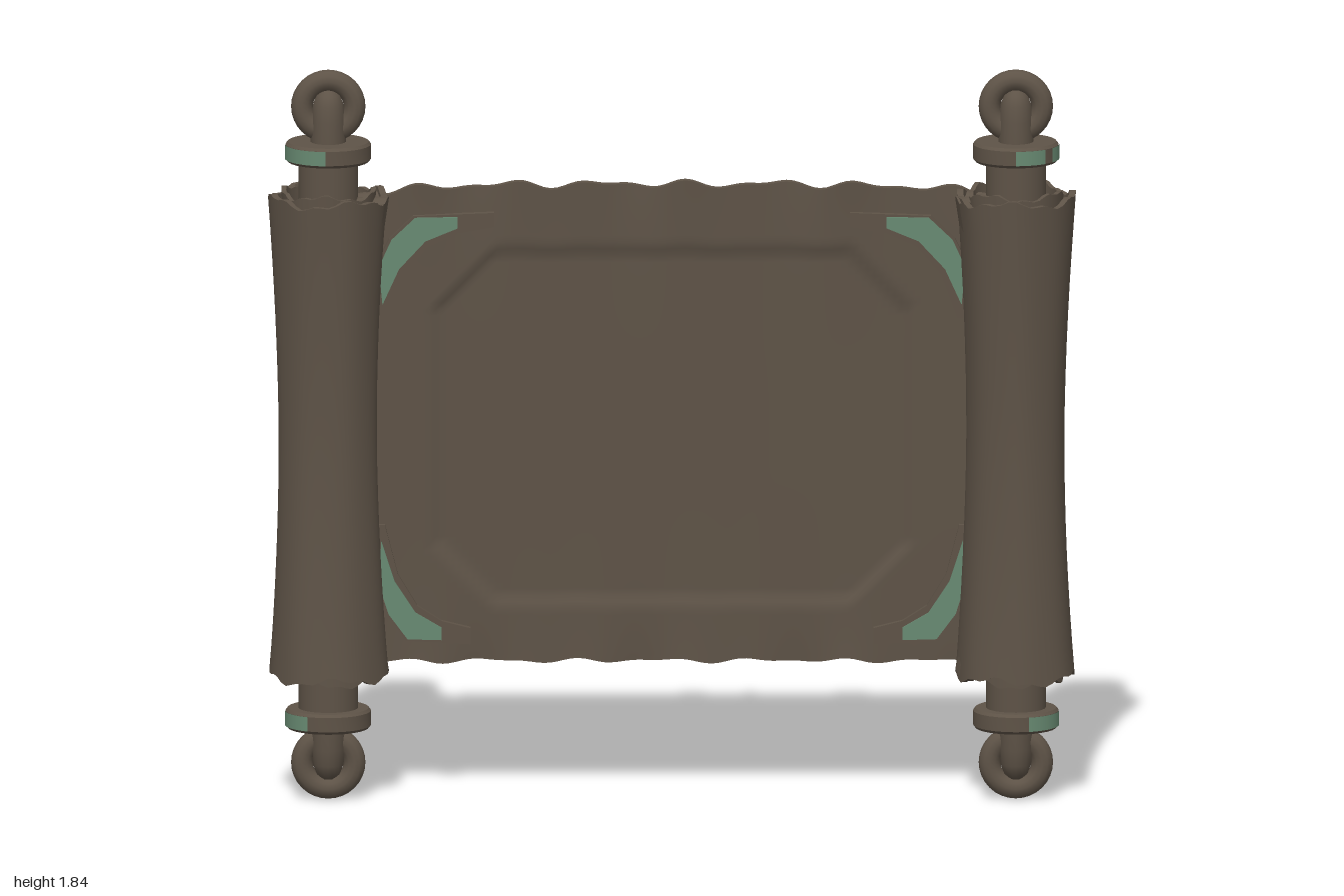
import * as THREE from 'three';
import { toCreasedNormals } from 'three/addons/utils/BufferGeometryUtils.js';

const MID = 0.917; // height of the mirror line between top and bottom
const ROLL_X = 0.85;

const material = (name, color) => {
  const m = new THREE.MeshStandardMaterial({ color });
  m.name = name;
  return m;
};
const brown = material('aged brown', 0x5e5347);
const green = material('verdigris', 0x688a72);
green.side = THREE.DoubleSide;

function add(parent, name, geometry, mat, x = 0, y = 0, z = 0) {
  const mesh = new THREE.Mesh(geometry, mat);
  mesh.name = name;
  mesh.position.set(x, y, z);
  parent.add(mesh);
  return mesh;
}

const v2 = (pts) => pts.map(([x, y]) => new THREE.Vector2(x, y));

// Moves every vertex by a rule, then rebuilds the normals
function reshape(geometry, rule, crease = 0.7) {
  const p = geometry.attributes.position;
  const v = new THREE.Vector3();
  for (let i = 0; i < p.count; i++) {
    v.fromBufferAttribute(p, i);
    rule(v);
    p.setXYZ(i, v.x, v.y, v.z);
  }
  return toCreasedNormals(geometry, crease);
}

// Hollow waisted tube with torn ends
function paperTube(half, waist, flare, wall, tear, seed) {
  const pts = [];
  const N = 16;
  const radius = (t) => waist + flare * Math.pow(Math.abs(t), 1.8);
  for (let i = 0; i <= N; i++) {
    const t = (i / N) * 2 - 1;
    pts.push([radius(t), t * half]);
  }
  for (let i = N; i >= 0; i--) {
    const t = (i / N) * 2 - 1;
    pts.push([radius(t) - wall, t * half]);
  }
  pts.push(pts[0]);
  return reshape(new THREE.LatheGeometry(v2(pts), 48), (v) => {
    const a = Math.atan2(v.x, v.z);
    const t = v.y / half;
    const k = 1 + 0.015 * Math.sin(3 * a + seed + t * 2) + 0.008 * Math.sin(7 * a + seed);
    v.x *= k;
    v.z *= k * 1.03;
    const end = Math.pow(Math.abs(t), 12) * Math.sign(t);
    v.y += end * tear * (Math.sin(4 * a + seed + t) + 0.6 * Math.sin(11 * a + 2 * seed));
  });
}

// Rod end: neck, collar, knob and ring, built upward from the mirror line
function rodEnd(side, up) {
  const g = new THREE.Group();
  g.name = 'rodEnd';
  const collar = [[0.06, 0.688], [0.1, 0.688], [0.106, 0.695], [0.106, 0.731], [0.1, 0.738], [0.05, 0.738], [0, 0.738]];
  add(g, 'collar', toCreasedNormals(new THREE.LatheGeometry(v2(collar), 28), 0.5), brown);
  const knob = [[0.052, 0.735], [0.05, 0.79], [0.045, 0.83], [0.034, 0.855], [0.018, 0.867], [0, 0.87]];
  add(g, 'knob', new THREE.LatheGeometry(v2(knob), 18), brown).scale.x = 0.85;
  add(g, 'ring', new THREE.TorusGeometry(0.065, 0.027, 12, 32), brown, 0, 0.826);
  // Green patina patches on the collar, angles measured from the front
  const patches = up > 0
    ? [side > 0 ? [0, 0.75] : [-1.57, 1.5], [side > 0 ? 1.0 : -2.6, 0.55], [2.7, 0.5]]
    : [side > 0 ? [0.3, 1.2] : [-1.5, 1.0], [2.6, 0.5]];
  for (const [start, length] of patches) {
    // Flipping the end over reverses its angles
    const from = up > 0 ? start : -start - length;
    add(g, 'collarPatina', new THREE.CylinderGeometry(0.1075, 0.1075, 0.036, 10, 1, true, from, length), green, 0, 0.713);
  }
  g.position.y = MID;
  if (up < 0) g.rotation.z = Math.PI;
  return g;
}

function roll(side) {
  const g = new THREE.Group();
  g.name = side > 0 ? 'leftRoll' : 'rightRoll';
  g.position.x = side * ROLL_X;
  add(g, 'rod', new THREE.CylinderGeometry(0.074, 0.074, 1.42, 24), brown, 0, MID);
  add(g, 'outerPaper', paperTube(0.6, 0.121, 0.026, 0.016, 0.009, side), brown, 0, MID);
  add(g, 'innerPaper', paperTube(0.612, 0.1, 0.017, 0.012, 0.007, side + 2), brown, 0, MID);
  // Loose outer edge of the wound paper, beside the sheet
  const flap = new THREE.CylinderGeometry(0.15, 0.15, 0.1, 8, 3, false, side > 0 ? -2.2 : 1.2, 1.0);
  for (const up of [1, -1]) {
    const strip = reshape(flap.clone(), (v) => {
      const s = 1 - 0.1 * (0.5 - (v.y * up) / 0.1);
      v.x *= s;
      v.z *= s;
      v.y += 0.008 * Math.sin(v.z * 70);
    });
    add(g, 'looseEdge', strip, brown, 0, MID + up * 0.545);
    g.add(rodEnd(side, up));
  }
  return g;
}

// Wavy sheet with a sunken, clipped-corner panel
function sheet() {
  const W = 1.5, H = 1.18;
  const geo = new THREE.BoxGeometry(W, H, 0.024, 90, 72, 1);
  return reshape(geo, (v) => {
    const { x, y } = v;
    const ax = Math.abs(x), ay = Math.abs(y);
    const d = Math.max(ax - 0.585, ay - 0.44, (ax + ay - 0.88) / Math.SQRT2);
    const inside = THREE.MathUtils.smoothstep(-d, -0.012, 0.012);
    const edge = Math.pow(ay / (H / 2), 6);
    v.z -= 0.01 * inside + 0.006 * (1 - Math.pow(x / 0.75, 2));
    v.z += edge * (0.005 * Math.sin(x * 17) + 0.003 * Math.sin(x * 31 + 1));
    const wave = 0.007 * Math.sin(x * 29 + (y > 0 ? 0.6 : 2)) + 0.005 * Math.sin(x * 47);
    v.y += y > 0
      ? edge * (0.018 * (1 - Math.pow(x / 0.75, 4)) + wave)
      : edge * wave * 0.6;
  }, 0.6);
}

// Corner mount outlines: distance inward from the roll, distance in from the sheet edge
const BRACKET = [[0.29, 0.004], [0.29, 0.04], [0.2, 0.056], [0.125, 0.09], [0.065, 0.16], [0.025, 0.27], [0, 0.27], [0, 0.13], [0.03, 0.07], [0.09, 0.012]];
const INLAY = [[0.2, 0.014], [0.2, 0.042], [0.12, 0.075], [0.055, 0.145], [0.014, 0.235], [0.005, 0.14], [0.036, 0.072], [0.095, 0.016]];
const BACK = [[0, -0.02], [0.12, -0.02], [0.09, 0.03], [0.05, 0.07], [0.03, 0.13], [0, 0.15]];

function cornerMount(sx, sy) {
  const g = new THREE.Group();
  g.name = 'cornerMount';
  const [ku, kv] = sy > 0 ? [1, 1] : [0.8, 1.13];
  const plate = (pts, depth) => new THREE.ExtrudeGeometry(
    new THREE.Shape(v2(pts.map(([u, v]) => [-sx * u * ku, -sy * v * kv]))),
    { depth, bevelEnabled: false });
  const x = sx * 0.73, y = sy > 0 ? 1.47 : 0.375;
  add(g, 'bracket', plate(BRACKET, 0.02), brown, x, y, -0.06);
  add(g, 'bracketPatina', plate(INLAY, 0.006), green, x, y, -0.041);
  add(g, 'backPatina', plate(BACK, 0.008), green, x, y, -0.09);
  return g;
}

export function createModel() {
  const model = new THREE.Group();
  model.name = 'scroll';
  add(model, 'sheet', sheet(), brown, 0, 0.925, -0.066);
  for (const side of [1, -1]) {
    model.add(roll(side));
    for (const up of [1, -1]) model.add(cornerMount(side, up));
  }
  return model;
}
